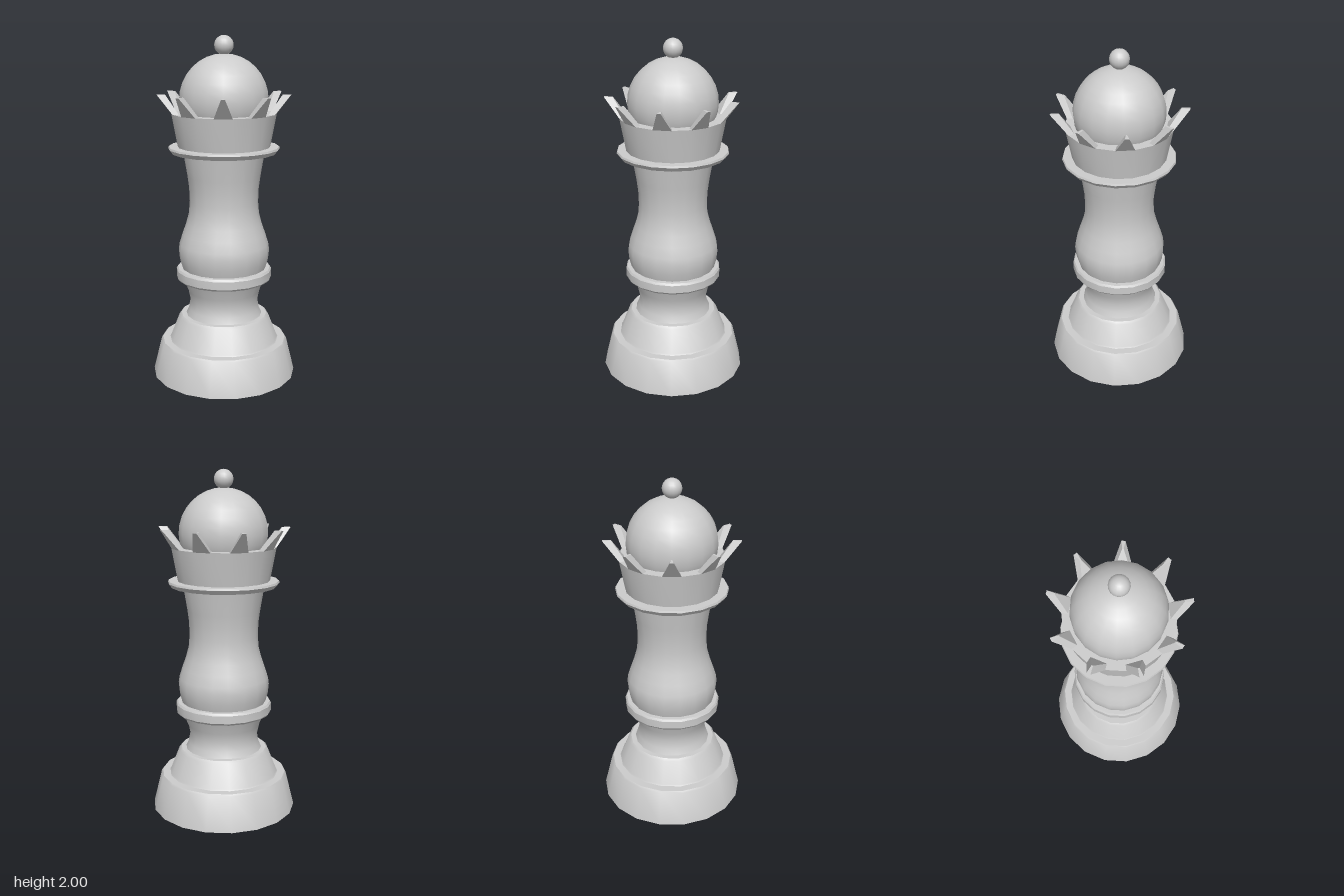
import * as THREE from 'three';
import { toCreasedNormals } from 'three/addons/utils/BufferGeometryUtils.js';

const SIDES = 18;
const SPIKES = 9;

export function createModel() {
  const group = new THREE.Group();
  const material = new THREE.MeshStandardMaterial({ color: 0xcccccc });

  function add(name, geometry, y = 0) {
    const mesh = new THREE.Mesh(geometry, material);
    mesh.name = name;
    mesh.position.y = y;
    group.add(mesh);
    return mesh;
  }

  // Turned part from [radius, height] pairs, listed bottom to top
  function turned(name, profile) {
    const points = profile.map(([r, y]) => new THREE.Vector2(r, y));
    const lathe = new THREE.LatheGeometry(points, SIDES, Math.PI / SIDES);
    add(name, toCreasedNormals(lathe, THREE.MathUtils.degToRad(32)));
  }

  // Stepped foot
  turned('base', [
    [0, 0], [0.427, 0], [0.378, 0.2], [0.37, 0.21], [0.326, 0.21],
    [0.32, 0.218], [0.268, 0.352], [0.255, 0.365], [0, 0.365],
  ]);

  // Waisted stem between foot and collar
  turned('lowerStem', [
    [0.228, 0.36], [0.21, 0.4], [0.201, 0.45], [0.214, 0.51], [0.246, 0.59],
  ]);

  turned('collar', [
    [0.2, 0.583], [0.272, 0.585], [0.282, 0.597], [0.282, 0.643],
    [0.274, 0.655], [0.2, 0.657],
  ]);

  // Bulging column narrowing, then flaring under the crown
  turned('column', [
    [0.248, 0.65], [0.262, 0.7], [0.268, 0.76], [0.262, 0.8], [0.243, 0.86],
    [0.222, 0.92], [0.206, 0.98], [0.2, 1.05], [0.203, 1.13], [0.212, 1.2],
    [0.236, 1.345],
  ]);

  turned('crownRing', [
    [0.2, 1.338], [0.304, 1.34], [0.322, 1.364], [0.318, 1.375], [0.2, 1.375],
  ]);

  turned('crown', [[0.266, 1.37], [0.302, 1.565], [0.2, 1.565]]);

  // Crown points, one on every second facet of the rim
  const spike = new THREE.BoxGeometry(1, 1, 1);
  const pos = spike.attributes.position;
  for (let i = 0; i < pos.count; i++) {
    const outer = pos.getZ(i) > 0;
    const top = pos.getY(i) > 0;
    const halfWidth = top ? (outer ? 0.011 : 0.004) : (outer ? 0.052 : 0.046);
    const radius = top ? (outer ? 0.383 : 0.335) : (outer ? 0.297 : 0.262);
    pos.setXYZ(i, Math.sign(pos.getX(i)) * halfWidth, top ? 1.675 : 1.563, radius);
  }
  spike.computeVertexNormals();
  for (let i = 0; i < SPIKES; i++) {
    add('crownPoint', spike).rotation.y = Math.PI + (i * 2 * Math.PI) / SPIKES;
  }

  // Domed head and finial
  add('dome', new THREE.SphereGeometry(0.256, SIDES, 16).rotateY(Math.PI / SIDES), 1.643);
  add('finial', new THREE.SphereGeometry(0.055, SIDES, 12), 1.945);

  return group;
}
